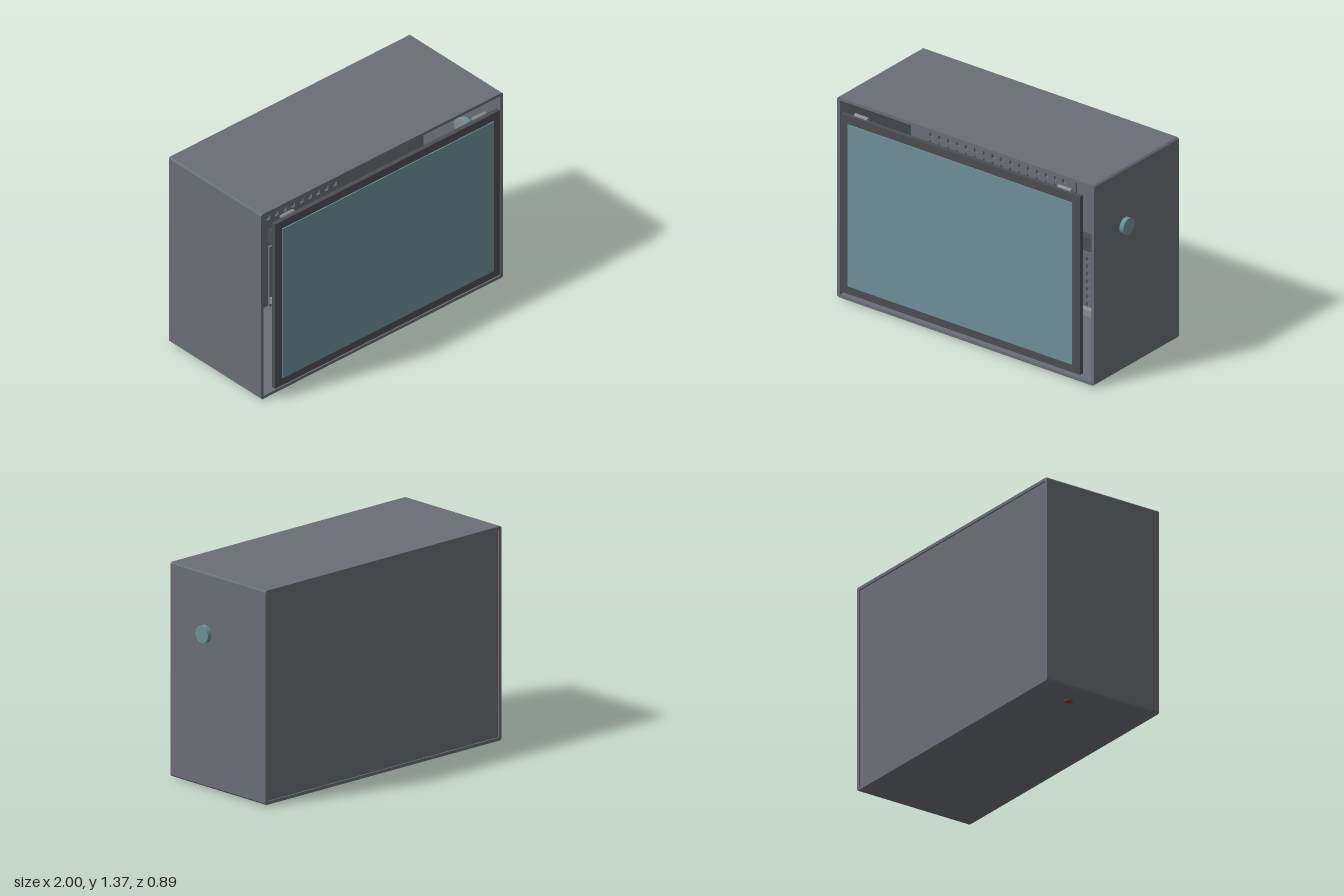
import * as THREE from 'three';

const material = (color) => new THREE.MeshStandardMaterial({ color, flatShading: true });

export function createModel() {
  const group = new THREE.Group();
  const shellMat = material(0x6a6e75);
  const darkMat = material(0x4b4e52);
  const glassMat = material(0x6f9099);
  const metalMat = material(0x8c9094);
  const redMat = material(0x8b3038);

  const add = (name, geometry, mat) => {
    const mesh = new THREE.Mesh(geometry, mat);
    mesh.name = name;
    group.add(mesh);
    return mesh;
  };
  // box given by its limits on each axis
  const box = (name, mat, x0, x1, y0, y1, z0, z1) =>
    add(name, new THREE.BoxGeometry(x1 - x0, y1 - y0, z1 - z0), mat)
      .position.set((x0 + x1) / 2, (y0 + y1) / 2, (z0 + z1) / 2);
  // cylinder lying along x
  const rod = (name, mat, r, x0, x1, y, z) =>
    add(name, new THREE.CylinderGeometry(r, r, x1 - x0, 32).rotateZ(Math.PI / 2), mat)
      .position.set((x0 + x1) / 2, y, z);
  const rectangle = (Type, x0, x1, y0, y1, c = 0) => {
    const corners = c
      ? [[x0 + c, y0], [x1 - c, y0], [x1, y0 + c], [x1, y1 - c],
        [x1 - c, y1], [x0 + c, y1], [x0, y1 - c], [x0, y0 + c]]
      : [[x0, y0], [x1, y0], [x1, y1], [x0, y1]];
    return new Type(corners.map(([x, y]) => new THREE.Vector2(x, y)));
  };

  // cabinet sleeve with slightly chamfered long edges
  const sleeve = rectangle(THREE.Shape, -1, 0.97, 0.01, 1.365, 0.01);
  sleeve.holes.push(rectangle(THREE.Path, -0.98, 0.95, 0.03, 1.345));
  add('cabinetShell', new THREE.ExtrudeGeometry(sleeve, { depth: 0.835, bevelEnabled: false }), shellMat)
    .position.z = -0.445;
  box('backPanel', shellMat, -0.98, 0.95, 0.03, 1.345, -0.435, -0.31);

  // perforated boards inside
  const board = (name, x0, x1, y0, y1) => {
    const shape = rectangle(THREE.Shape, x0, x1, y0, y1);
    const pitch = 0.068, h = 0.014;
    for (let x = x0 + 0.034; x < x1 - 0.02; x += pitch) {
      for (let y = y0 + 0.03; y < y1 - 0.02; y += pitch * 0.75) {
        shape.holes.push(rectangle(THREE.Path, x - h, x + h, y - h, y + h));
      }
    }
    add(name, new THREE.ExtrudeGeometry(shape, { depth: 0.015, bevelEnabled: false }), shellMat)
      .position.z = -0.305;
  };
  board('upperPerforatedBoard', -0.84, 0.3, 0.66, 1.34);
  board('lowerPerforatedBoard', -0.32, 0.7, 0.035, 0.47);
  box('upperRail', darkMat, -0.32, 0.7, 0.5, 0.59, -0.31, -0.25);
  box('lowerRail', metalMat, -0.32, 0.7, 0.06, 0.1, -0.29, -0.25);

  // front door and its pane
  box('door', darkMat, -0.93, 0.9, 0.085, 1.29, 0.41, 0.44);
  box('doorPane', glassMat, -0.875, 0.845, 0.14, 1.235, 0.435, 0.447);
  for (const x of [-0.8, 0.76]) rod('doorHinge', metalMat, 0.014, x - 0.05, x + 0.05, 1.29, 0.405);

  // side button passing through the wall
  rod('sideButton', glassMat, 0.055, 0.91, 1, 0.98, 0.085);
  rod('buttonFlange', metalMat, 0.065, 0.902, 0.914, 0.98, 0.085);

  // red plug in the floor
  add('floorPlug', new THREE.CylinderGeometry(0.025, 0.025, 0.035, 24), redMat)
    .position.set(-0.835, 0.0175, -0.165);

  return group;
}
